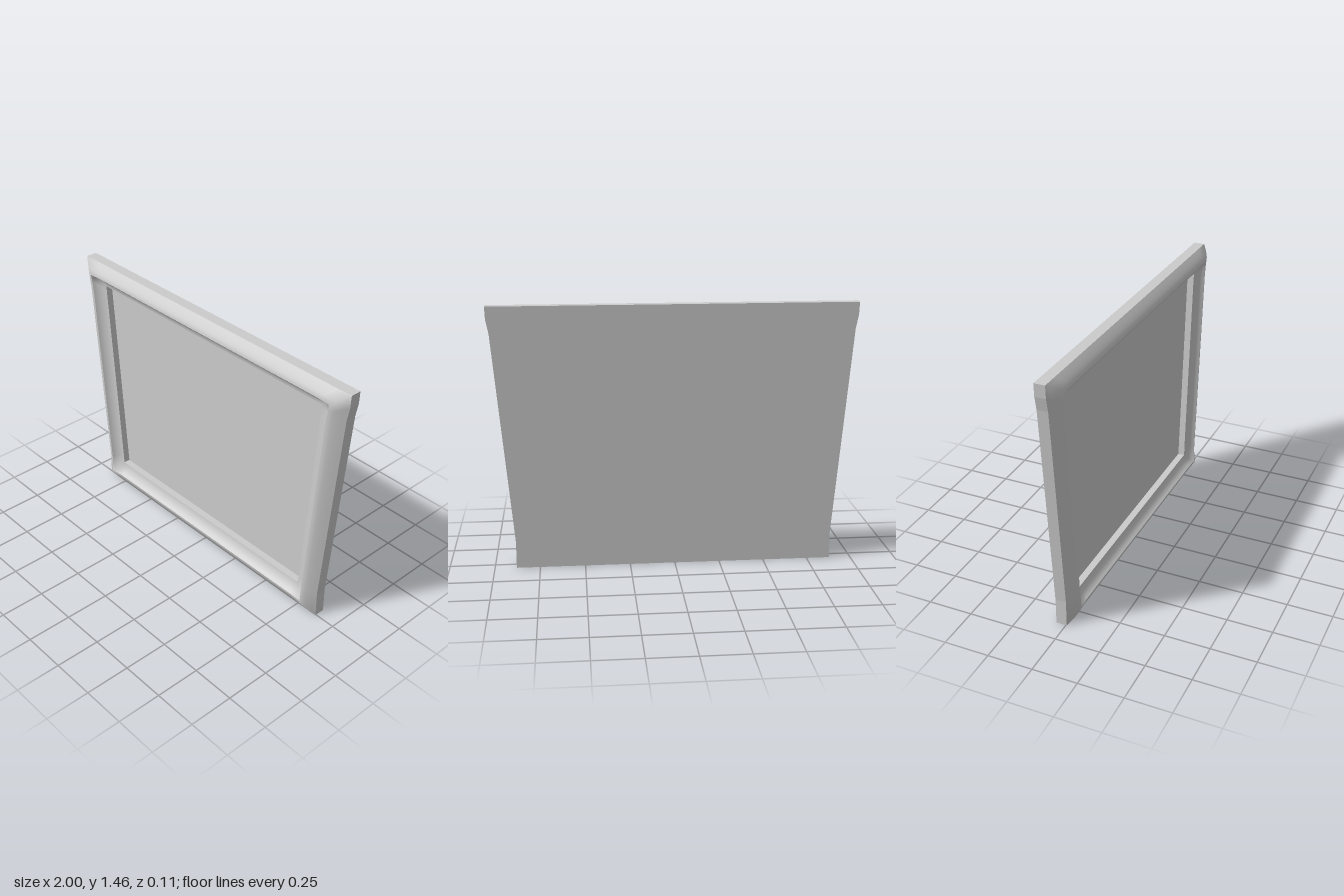
import * as THREE from 'three';

// Right half of each outline, bottom to top; mirrored into a counterclockwise loop
const mirrorLoop = half => [...half, ...half.slice().reverse().map(([x, y]) => [-x, y])];
const outer = mirrorLoop([
  [0.79, 0], [0.88, 0], [0.88, 0.15], [0.982, 1.31], [0.997, 1.385], [1, 1.455], [0.91, 1.455]]);
const opening = mirrorLoop([
  [0.68, 0.15], [0.743, 0.15], [0.747, 0.21], [0.824, 1.25], [0.828, 1.3], [0.83, 1.33], [0.76, 1.33]]);
const corners = [1, 5, 8, 12];

const BACK = -0.055, RIM = 0.005, LIP = 0.01, PANEL = -0.028;

// Ring at a fraction t of the way from the outer edge to the opening
const ring = (t, z) => outer.map(([x, y], i) => [
  x + (opening[i][0] - x) * t, y + (opening[i][1] - y) * t, z]);

// Moulding ring, its crest a little higher at the corners
const mouldingRing = ({ x: t, y: z }) => ring(t, z).map(([x, y], i) => [
  x, y, corners.includes(i) ? z + 0.1 * (z - RIM) : z]);

// Skin a list of closed rings
function loft(rings) {
  const n = rings[0].length, index = [];
  for (let r = 0; r < rings.length - 1; r++) {
    for (let j = 0; j < n; j++) {
      const a = r * n + j, b = r * n + (j + 1) % n;
      index.push(a, b, b + n, a, b + n, a + n);
    }
  }
  const geo = new THREE.BufferGeometry();
  geo.setAttribute('position', new THREE.Float32BufferAttribute(rings.flat(2), 3));
  geo.setIndex(index);
  geo.computeVertexNormals();
  return geo;
}

const moulding = points => loft(
  new THREE.SplineCurve(points.map(p => new THREE.Vector2(...p))).getPoints(14).map(mouldingRing));

const sheet = loop => new THREE.ShapeGeometry(
  new THREE.Shape(loop.map(([x, y]) => new THREE.Vector2(x, y))));

export function createModel() {
  const group = new THREE.Group();
  const smooth = new THREE.MeshStandardMaterial({ color: 0xcccccc });
  const flat = new THREE.MeshStandardMaterial({ color: 0xcccccc, flatShading: true });
  const add = (name, geo, material) => {
    const mesh = new THREE.Mesh(geo, material);
    mesh.name = name;
    group.add(mesh);
  };

  // Flat back, outer edge and recessed panel
  add('back', sheet(outer).rotateY(Math.PI).translate(0, 0, BACK), flat);
  add('outerEdge', loft([ring(0, BACK), ring(0, RIM)]), flat);
  add('panel', sheet(opening).translate(0, 0, PANEL), flat);

  // Rounded outer slope and hollow inner slope, meeting at a crest
  add('outerMoulding', moulding([
    [0, RIM], [0.15, 0.022], [0.3, 0.037], [0.43, 0.047], [0.55, 0.051]]), smooth);
  add('innerMoulding', moulding([
    [0.55, 0.051], [0.63, 0.036], [0.74, 0.023], [0.87, 0.014], [1, LIP]]), smooth);

  // Straight wall down to the panel
  add('openingWall', loft([ring(1, LIP), ring(1, PANEL)]), flat);

  return group;
}
